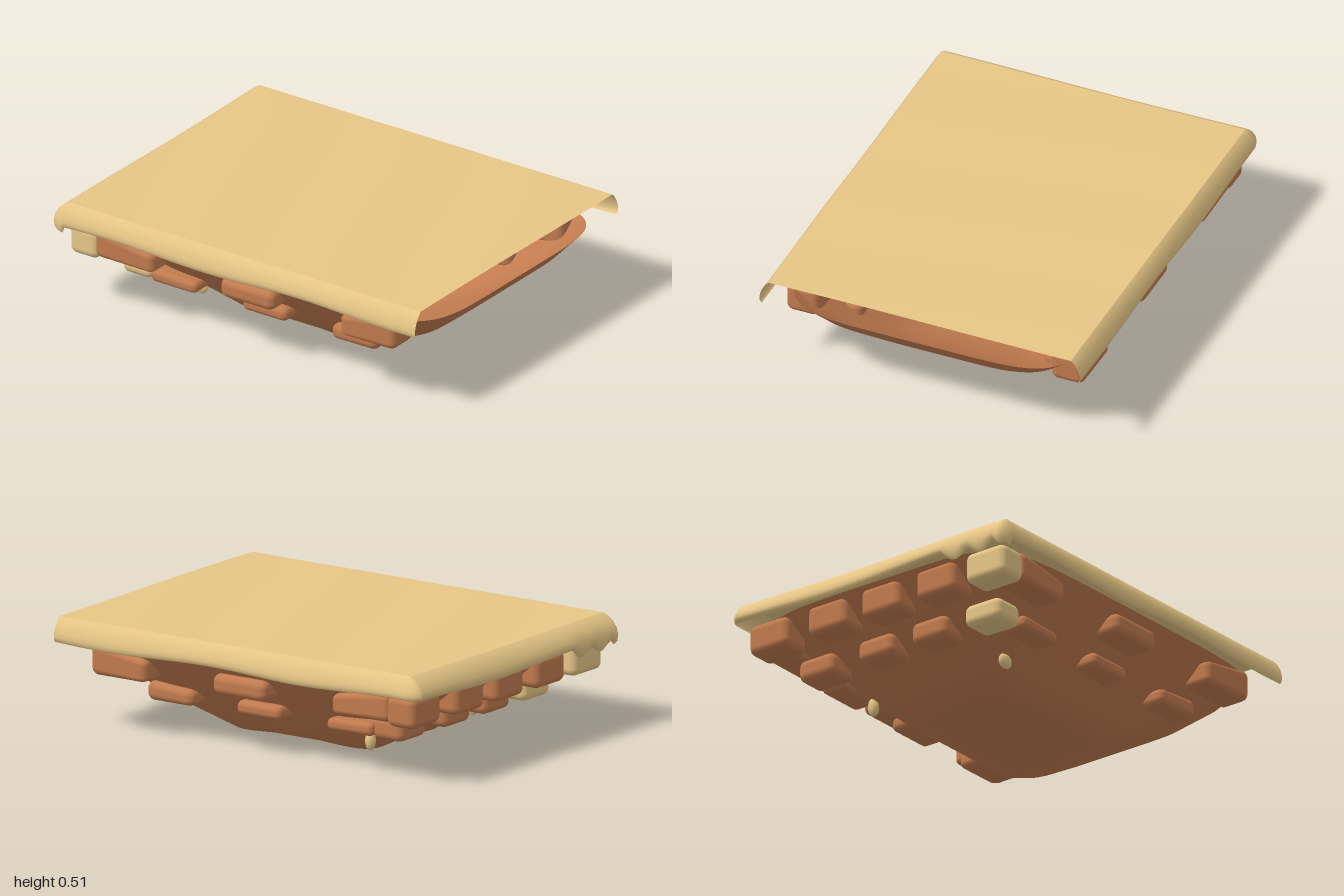
import * as THREE from 'three';
import { RoundedBoxGeometry } from 'three/addons/geometries/RoundedBoxGeometry.js';

// Surface through a grid of points: rows of equal length, optionally closed around
function loft(rows, closed) {
  const n = rows[0].length, pos = rows.flat(2), index = [];
  for (let r = 0; r < rows.length - 1; r++) {
    for (let i = 0; i < (closed ? n : n - 1); i++) {
      const a = r * n + i, b = r * n + (i + 1) % n;
      index.push(a, b, b + n, a, b + n, a + n);
    }
  }
  const g = new THREE.BufferGeometry();
  g.setAttribute('position', new THREE.Float32BufferAttribute(pos, 3));
  g.setIndex(index);
  g.computeVertexNormals();
  return g;
}

export function createModel() {
  const model = new THREE.Group();
  const earth = new THREE.MeshStandardMaterial({ color: 0xc07a4e, side: THREE.DoubleSide });
  earth.name = 'earth brown';
  const sand = new THREE.MeshStandardMaterial({ color: 0xe6c686, side: THREE.DoubleSide });
  sand.name = 'sand';

  const add = (name, geometry, material, x = 0, y = 0, z = 0) => {
    const mesh = new THREE.Mesh(geometry, material);
    mesh.name = name;
    mesh.position.set(x, y, z);
    model.add(mesh);
    return mesh;
  };

  // Rock bowl: rounded rectangles [y, half width, front z, back z]
  const ring = ([y, hx, zf, zb], scale = 1) => {
    const points = [], N = 96, power = 2 / 6;
    for (let i = 0; i < N; i++) {
      const t = ((i + 0.5) / N) * Math.PI * 2, c = Math.cos(t), s = Math.sin(t);
      const u = Math.sign(c) * Math.abs(c) ** power * scale;
      const v = Math.sign(s) * Math.abs(s) ** power * scale;
      // the underside arches up between its corners and towards its middle
      const lift = y === 0 ? 0.02 * (1 - Math.min(1, 1.25 * Math.abs(u * v))) + 0.04 * (1 - scale) : 0;
      points.push([u * hx, y + lift, (zf + zb) / 2 + v * (zf - zb) / 2]);
    }
    return points;
  };
  const levels = [
    [0.4, 0.72, 1.0, -0.95],
    [0.31, 0.635, 0.92, -0.84],
    [0.2, 0.512, 0.785, -0.69],
    [0.09, 0.388, 0.595, -0.52],
  ];
  const base = [0, 0.29, 0.4, -0.39];
  add('rockBowl', loft([
    ...levels.map((l) => ring(l)),
    ...[1, 0.75, 0.5, 0.25, 0.001].map((s) => ring(base, s)),
  ], true), earth);

  // Rounded stone spanning two corners; its top drops towards +z by frontDrop or -z by backDrop
  const stone = (name, material, x0, x1, y0, y1, z0, z1, frontDrop = 0, backDrop = 0) => {
    const h = y1 - y0, d = z1 - z0;
    const g = new RoundedBoxGeometry(x1 - x0, h, d, 4, Math.min(0.035, h * 0.42));
    const p = g.attributes.position;
    for (let i = 0; i < p.count; i++) {
      const up = p.getY(i) / h + 0.5, along = p.getZ(i) / d + 0.5;
      p.setY(i, p.getY(i) - up * (frontDrop * along + backDrop * (1 - along)));
    }
    add(name, g, material, (x0 + x1) / 2, (y0 + y1) / 2, (z0 + z1) / 2);
  };

  // Stones along both sides: [y0, y1, z0, z1, frontDrop, backDrop]
  for (const side of [-1, 1]) {
    const sideStone = (name, inner, outer, spec) =>
      stone(name, earth, Math.min(side * inner, side * outer), Math.max(side * inner, side * outer), ...spec);
    for (const s of [[0.26, 0.41, 0.53, 0.83, 0, 0.05], [0.265, 0.36, -0.12, 0.17], [0.27, 0.41, -0.8, -0.48, 0.05, 0]])
      sideStone('upperSideStone', 0.56, 0.72, s);
    for (const s of [[0.145, 0.235, 0.38, 0.63, 0, 0.02], [0.15, 0.215, -0.1, 0.14], [0.15, 0.215, -0.6, -0.35, 0.01, 0]])
      sideStone('lowerSideStone', 0.44, 0.575, s);
  }

  // Stones along the back; the last of each row is sand
  [0.61, 0.28, -0.02, -0.33, -0.61].forEach((x, i) =>
    stone('upperBackStone', i === 4 ? sand : earth, x - 0.11, x + 0.11, 0.255, 0.4, -0.935, -0.78));
  [0.475, 0.14, -0.16, -0.46].forEach((x, i) =>
    stone('lowerBackStone', i === 3 ? sand : earth, x - 0.1, x + 0.1, 0.145, 0.25, -0.765, -0.6));

  // Gently rippled top sheet, open underneath
  const edgeX = 0.73, backZ = -0.925, frontZ = 0.985;
  const ripple = (x, z) => 0.508 + 0.004 * Math.sin(9 * z + 2 * x) * Math.cos(2 * x);
  const top = new THREE.PlaneGeometry(edgeX * 2, frontZ - backZ, 24, 40);
  top.rotateX(-Math.PI / 2);
  top.translate(0, 0, (frontZ + backZ) / 2);
  const p = top.attributes.position;
  for (let i = 0; i < p.count; i++) p.setY(i, ripple(p.getX(i), p.getZ(i)));
  top.computeVertexNormals();
  add('sandSheet', top, sand);

  // Skirt path: down one side, around the back, up the other: [x, z, outward x, outward z]
  const path = [];
  const side = (sign) => Array.from({ length: 33 }, (_, i) =>
    [sign * edgeX, frontZ + (backZ - frontZ) * i / 32, sign * 0.045, 0]);
  const corner = (sign) => Array.from({ length: 7 }, (_, i) => {
    const a = (i + 1) / 8 * Math.PI / 2;
    return [sign * edgeX, backZ, sign * 0.045 * Math.cos(a), -0.075 * Math.sin(a)];
  });
  path.push(...side(1), ...corner(1));
  for (let i = 0; i <= 56; i++) path.push([edgeX - 2 * edgeX * i / 56, backZ, 0, -0.075]);
  path.push(...corner(-1).reverse(), ...side(-1).reverse());

  // Skirt profile: [outset, drop share]; it hangs in scallops by one back corner
  const profile = [[0, 0], [0.35, 0.13], [0.68, 0.34], [0.92, 0.58], [1, 0.78], [0.94, 0.93], [0.75, 1]];
  add('sandSkirt', loft(profile.map(([out, drop]) => path.map(([x, z, nx, nz]) => {
    const drip = nz < 0 && x < -0.42 ? 0.045 * Math.abs(Math.sin((x + 0.42) * Math.PI / 0.14)) : 0;
    const depth = 0.112 + 0.008 * Math.sin(6 * z + 5 * x) + drip * drop ** 3;
    return [x + nx * out, ripple(x, z) - depth * drop, z + nz * out];
  })), false), sand);

  // Sand grains low on the rock
  const grain = (x, y, z, rx, ry, rz) =>
    add('sandGrain', new THREE.SphereGeometry(1, 16, 12), sand, x, y, z).scale.set(rx, ry, rz);
  grain(0.385, 0.08, -0.46, 0.026, 0.045, 0.024);
  grain(-0.365, 0.085, -0.47, 0.02, 0.036, 0.04);

  return model;
}
